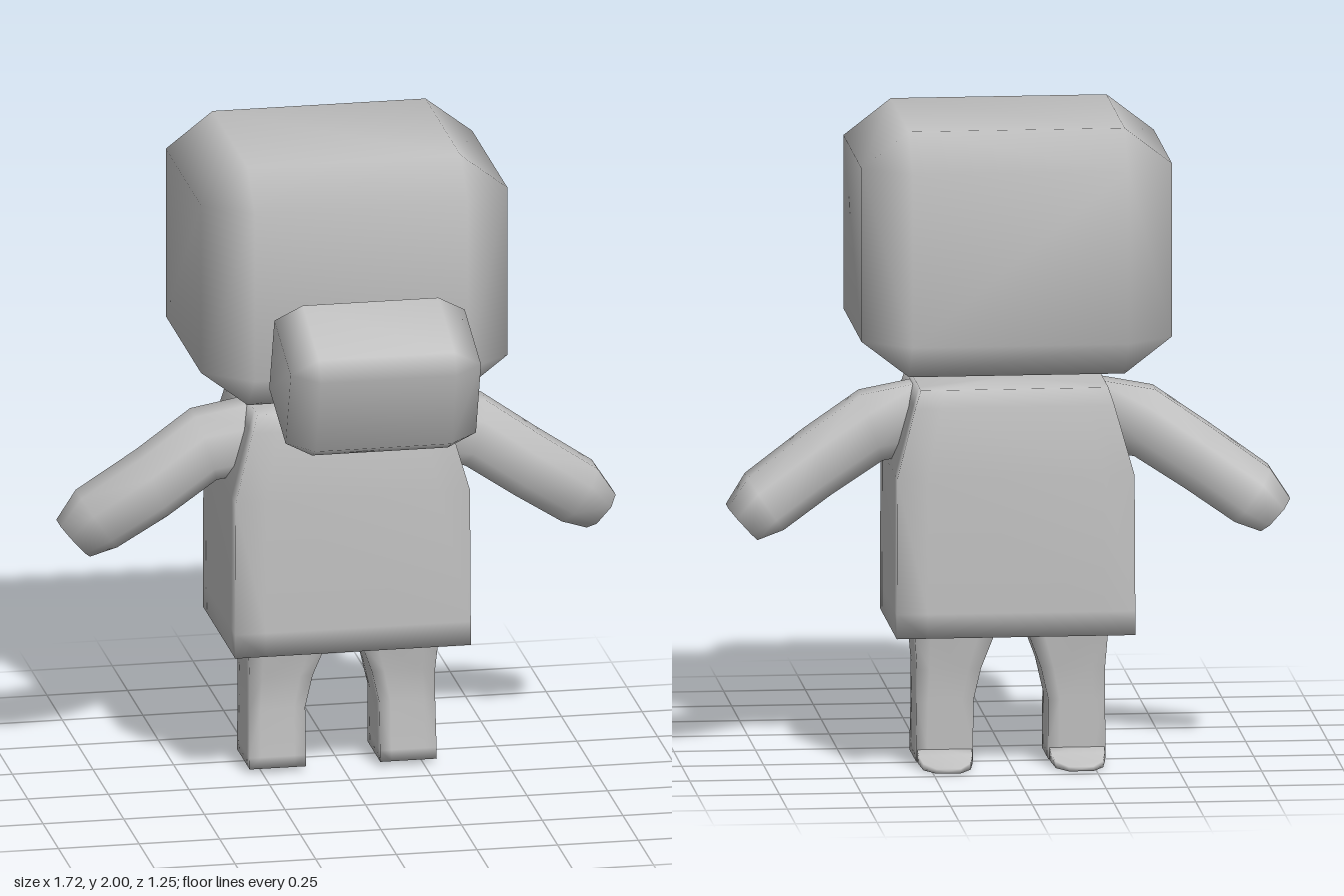
import * as THREE from 'three';
import { mergeVertices } from 'three/addons/utils/BufferGeometryUtils.js';
import { ConvexGeometry } from 'three/addons/geometries/ConvexGeometry.js';

const grey = new THREE.MeshStandardMaterial({ color: 0xc0c0c0 });
grey.name = 'plain grey';

function addMesh(parent, name, geometry) {
  const mesh = new THREE.Mesh(geometry, grey);
  mesh.name = name;
  parent.add(mesh);
  return mesh;
}

// Box with cut edges and corners, smooth normals; half sizes h, insets c
function cutBox(h, c) {
  const points = [];
  for (const sx of [-1, 1]) for (const sy of [-1, 1]) for (const sz of [-1, 1]) {
    const s = [sx, sy, sz];
    for (let axis = 0; axis < 3; axis++) {
      points.push(new THREE.Vector3(...s.map((v, i) => v * (i === axis ? h[i] : h[i] - c[i]))));
    }
  }
  const hull = new ConvexGeometry(points);
  hull.deleteAttribute('normal');
  const geometry = mergeVertices(hull, 1e-4);
  geometry.computeVertexNormals();
  return geometry;
}

// Closed smooth skin over rings of equal point count, turned outward by its volume
function loft(rings) {
  const n = rings[0].length;
  const verts = rings.flat();
  const index = [];
  for (let r = 0; r < rings.length - 1; r++) {
    for (let i = 0; i < n; i++) {
      const a = r * n + i, b = r * n + (i + 1) % n;
      index.push(a, b, b + n, a, b + n, a + n);
    }
  }
  const last = (rings.length - 1) * n;
  [[0, true], [last, false]].forEach(([start, flip]) => {
    const middle = new THREE.Vector3();
    for (let i = 0; i < n; i++) middle.addScaledVector(verts[start + i], 1 / n);
    const m = verts.push(middle) - 1;
    for (let i = 0; i < n; i++) {
      const a = start + i, b = start + (i + 1) % n;
      if (flip) index.push(m, b, a); else index.push(m, a, b);
    }
  });
  let volume = 0;
  for (let i = 0; i < index.length; i += 3) {
    const [a, b, c] = [0, 1, 2].map((k) => verts[index[i + k]]);
    volume += a.dot(b.clone().cross(c));
  }
  if (volume < 0) index.reverse();
  const geometry = new THREE.BufferGeometry().setFromPoints(verts);
  geometry.setIndex(index);
  geometry.computeVertexNormals();
  return geometry;
}

// Level rectangle with extra points beside each corner
function levelRing(y, x0, x1, z0, z1, inset) {
  const ix = (x1 - x0) * inset, iz = (z1 - z0) * inset;
  return [
    [x0, z0], [x0 + ix, z0], [x1 - ix, z0], [x1, z0], [x1, z0 + iz], [x1, z1 - iz],
    [x1, z1], [x1 - ix, z1], [x0 + ix, z1], [x0, z1], [x0, z1 - iz], [x0, z0 + iz],
  ].map(([x, z]) => new THREE.Vector3(x, y, z));
}

// Octagonal limb section between an upper and a lower point, from z0 to z1
function limbRing([tx, ty, bx, by, z0, z1], side) {
  const corners = [[-1, -0.45], [-1, 0.45], [-0.5, 1], [0.5, 1], [1, 0.45], [1, -0.45], [0.5, -1], [-0.5, -1]];
  return corners.map(([u, v]) => new THREE.Vector3(
    side * ((tx + bx) / 2 + u * (tx - bx) / 2),
    (ty + by) / 2 + u * (ty - by) / 2,
    (z0 + z1) / 2 + v * (z1 - z0) / 2,
  ));
}

export function createModel() {
  const model = new THREE.Group();
  model.name = 'boxFigure';

  // Big block head and a tilted snout floating in front of it
  const head = addMesh(model, 'head', cutBox([0.475, 0.38, 0.403], [0.145, 0.112, 0.117]));
  head.position.set(0, 1.62, -0.223);
  const snout = addMesh(model, 'snout', cutBox([0.295, 0.18, 0.191], [0.085, 0.051, 0.05]));
  snout.position.set(0, 1.42, 0.405);
  snout.rotation.x = 0.33;

  // Torso: straight below, narrowing to the shoulders
  const torsoRows = [
    [0.40, 0.30, -0.34, -0.11],
    [0.425, 0.365, -0.485, 0.045],
    [0.50, 0.365, -0.485, 0.045],
    [0.92, 0.363, -0.483, 0.043],
    [1.13, 0.305, -0.45, 0.01],
    [1.185, 0.287, -0.44, 0],
  ];
  addMesh(model, 'torso', loft(torsoRows.map(([y, x, z0, z1]) => levelRing(y, -x, x, z0, z1, 0.13))));

  // Arm sections: upper x, y, lower x, y, back z, front z
  const armRows = [
    [0.26, 1.175, 0.30, 0.95, -0.30, -0.09],
    [0.45, 1.14, 0.385, 0.935, -0.30, -0.10],
    [0.62, 1.02, 0.54, 0.832, -0.297, -0.085],
    [0.80, 0.892, 0.69, 0.73, -0.327, -0.12],
    [0.86, 0.80, 0.77, 0.70, -0.315, -0.15],
  ];
  // Leg rows: y, inner x, outer x, back z, front z
  const legRows = [
    [0.015, 0.115, 0.29, -0.32, -0.115],
    [0.05, 0.115, 0.29, -0.32, -0.118],
    [0.20, 0.115, 0.288, -0.323, -0.13],
    [0.30, 0.092, 0.288, -0.325, -0.13],
    [0.40, 0.055, 0.295, -0.34, -0.11],
    [0.43, 0.05, 0.295, -0.34, -0.11],
  ];
  // Foot flap rows: z, inner x, outer x, bottom y, top y
  const flapRows = [
    [-0.30, 0.118, 0.287, 0.015, 0.06],
    [-0.35, 0.12, 0.285, 0.012, 0.038],
    [-0.40, 0.13, 0.275, 0.002, 0.022],
    [-0.45, 0.165, 0.24, 0, 0.014],
  ];
  for (const [name, side] of [['left', 1], ['right', -1]]) {
    addMesh(model, name + 'Arm', loft(armRows.map((row) => limbRing(row, side))));
    addMesh(model, name + 'Leg', loft(legRows.map(([y, x0, x1, z0, z1]) =>
      levelRing(y, side * x0, side * x1, z0, z1, 0.2))));
    addMesh(model, name + 'FootFlap', loft(flapRows.map(([z, x0, x1, y0, y1]) =>
      [[x0, y0], [x1, y0], [x1, y1], [x0, y1]].map(([x, y]) => new THREE.Vector3(side * x, y, z)))));
  }
  return model;
}
